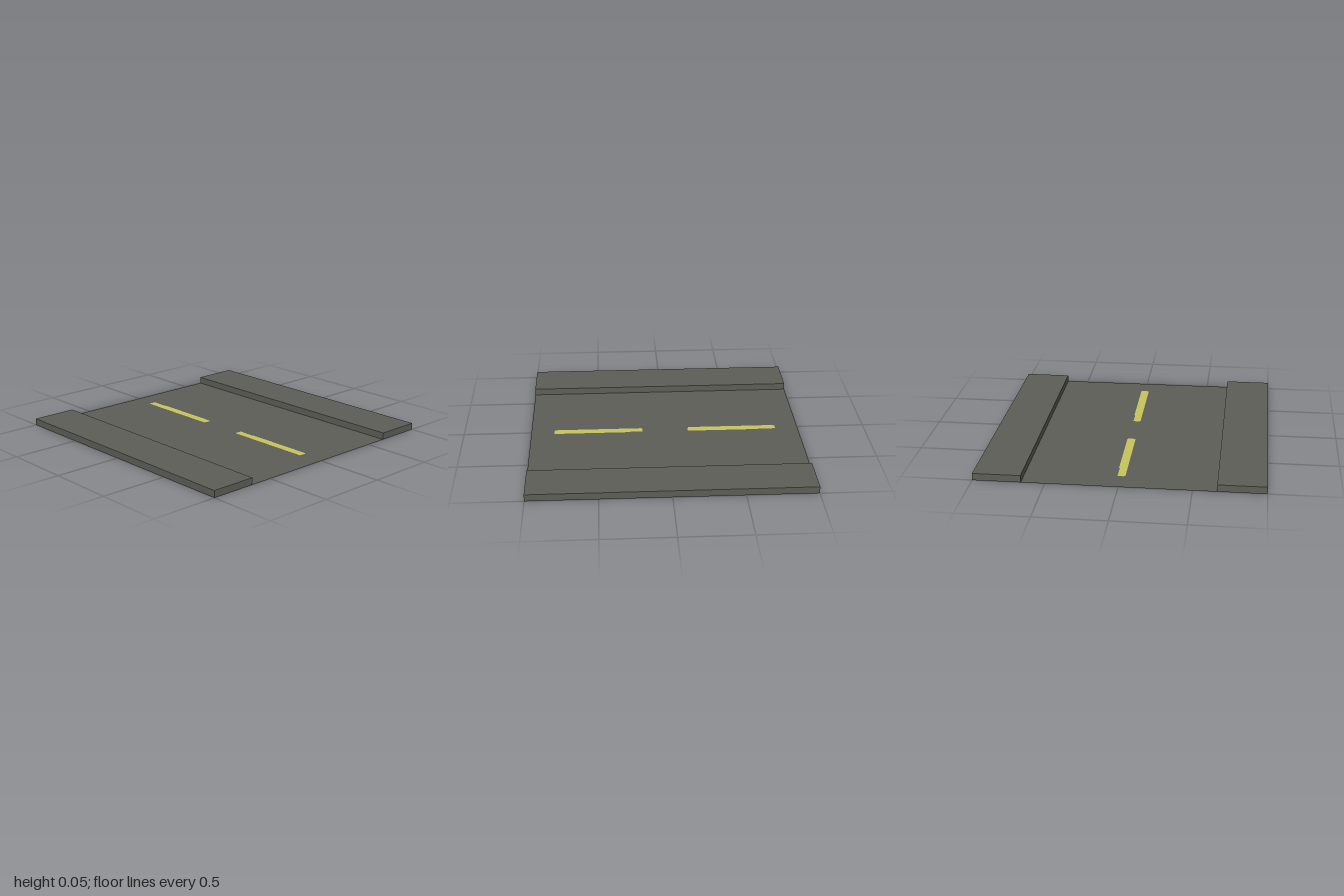
import * as THREE from 'three';

const asphalt = new THREE.MeshStandardMaterial({ color: 0x5e5e58, side: THREE.DoubleSide });
asphalt.name = 'asphalt grey';
const paint = new THREE.MeshStandardMaterial({ color: 0xc8c55c });
paint.name = 'line yellow';

const ROAD_HALF = 0.665; // half width of the carriageway
const CURB = 0.05; // pavement height

// Box shell without its bottom face, standing on y = 0
function openBox(w, h, d) {
  const geo = new THREE.BoxGeometry(w, h, d);
  const index = Array.from(geo.index.array);
  index.splice(18, 6); // the fourth face is the bottom
  geo.setIndex(index);
  geo.clearGroups();
  return geo.translate(0, h / 2, 0);
}

// Flat outline in x and z, facing up
function flatShape(points) {
  const shape = new THREE.Shape(points.map(([x, z]) => new THREE.Vector2(x, -z)));
  return new THREE.ShapeGeometry(shape).rotateX(-Math.PI / 2);
}

export function createModel() {
  const model = new THREE.Group();
  model.name = 'roadSection';
  const add = (name, geometry, material, x = 0, y = 0, z = 0) => {
    const mesh = new THREE.Mesh(geometry, material);
    mesh.name = name;
    mesh.position.set(x, y, z);
    model.add(mesh);
  };

  // Thin road surface
  add('roadSurface', new THREE.PlaneGeometry(2 * ROAD_HALF, 2).rotateX(-Math.PI / 2), asphalt);

  // Raised pavements, hollow underneath
  const width = 1 - ROAD_HALF;
  for (const [name, side] of [['leftPavement', 1], ['rightPavement', -1]]) {
    add(name, openBox(width, CURB, 2), asphalt, side * (1 - width / 2));
  }

  // Centre dashes with slightly worn edges
  const dash = flatShape([
    [-0.03, 0.325], [0.02, 0.33], [0.03, 0.32], [0.03, -0.2],
    [0.024, -0.2], [0.024, -0.33], [-0.015, -0.332], [-0.03, -0.325],
  ]);
  add('frontDash', dash, paint, 0, 0.002, 0.5);
  add('backDash', dash, paint, 0, 0.002, -0.5);

  return model;
}
